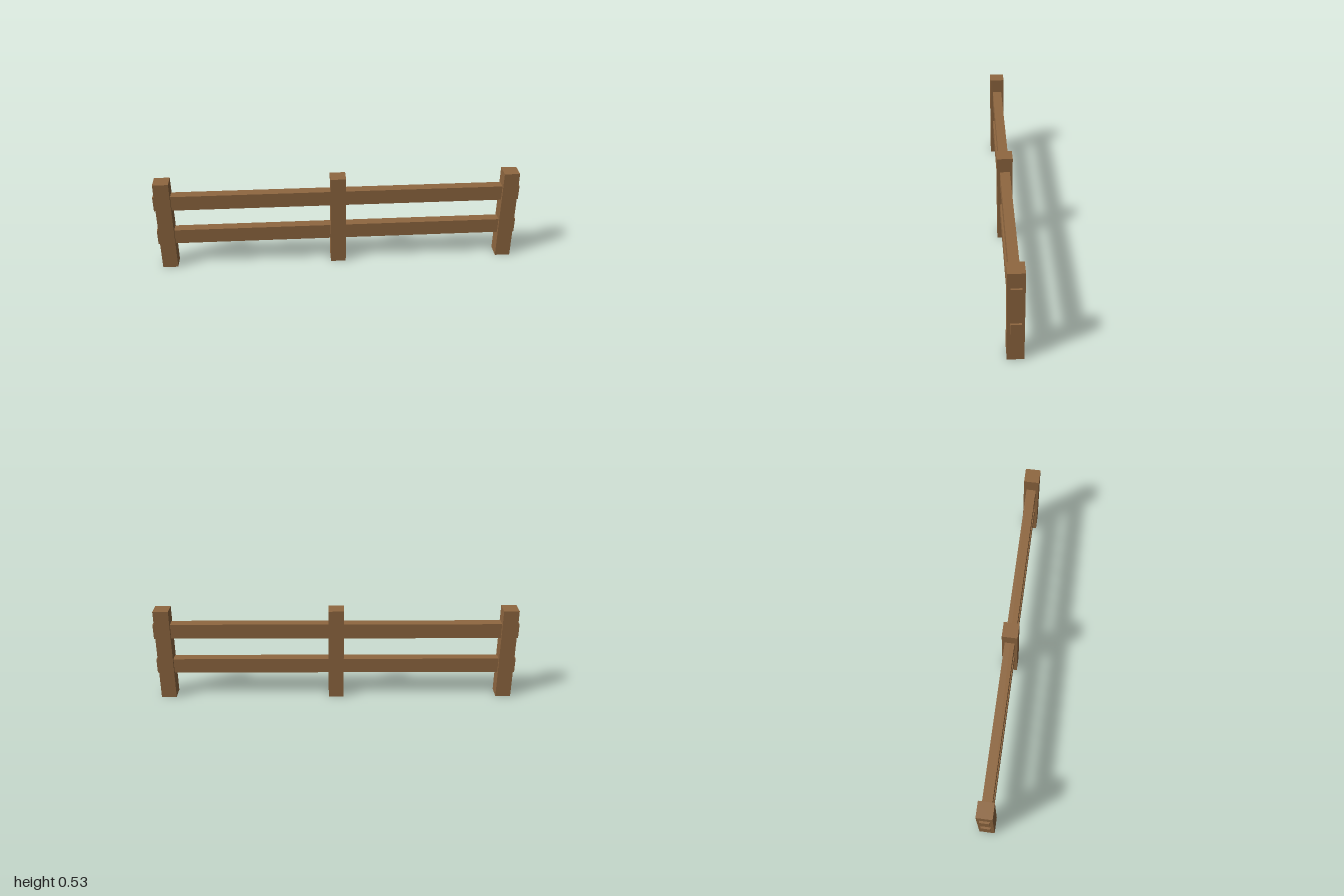
import * as THREE from 'three';

export function createModel() {
  const group = new THREE.Group();
  const wood = new THREE.MeshStandardMaterial({ color: 0x8f6740 });
  wood.name = 'brown wood';

  const addBeam = (name, size, position) => {
    const mesh = new THREE.Mesh(new THREE.BoxGeometry(...size), wood);
    mesh.name = name;
    mesh.position.set(...position);
    group.add(mesh);
  };

  // Three square posts
  const postHeight = 0.526, postWidth = 0.084;
  [['rightPost', -0.947], ['middlePost', 0], ['leftPost', 0.947]].forEach(([name, x]) =>
    addBeam(name, [postWidth, postHeight, postWidth], [x, postHeight / 2, 0]));

  // Two rails running through the posts and poking out at the ends
  [['lowerRail', 0.19], ['upperRail', 0.401]].forEach(([name, y]) =>
    addBeam(name, [2, 0.084, 0.053], [0, y, 0]));

  return group;
}
